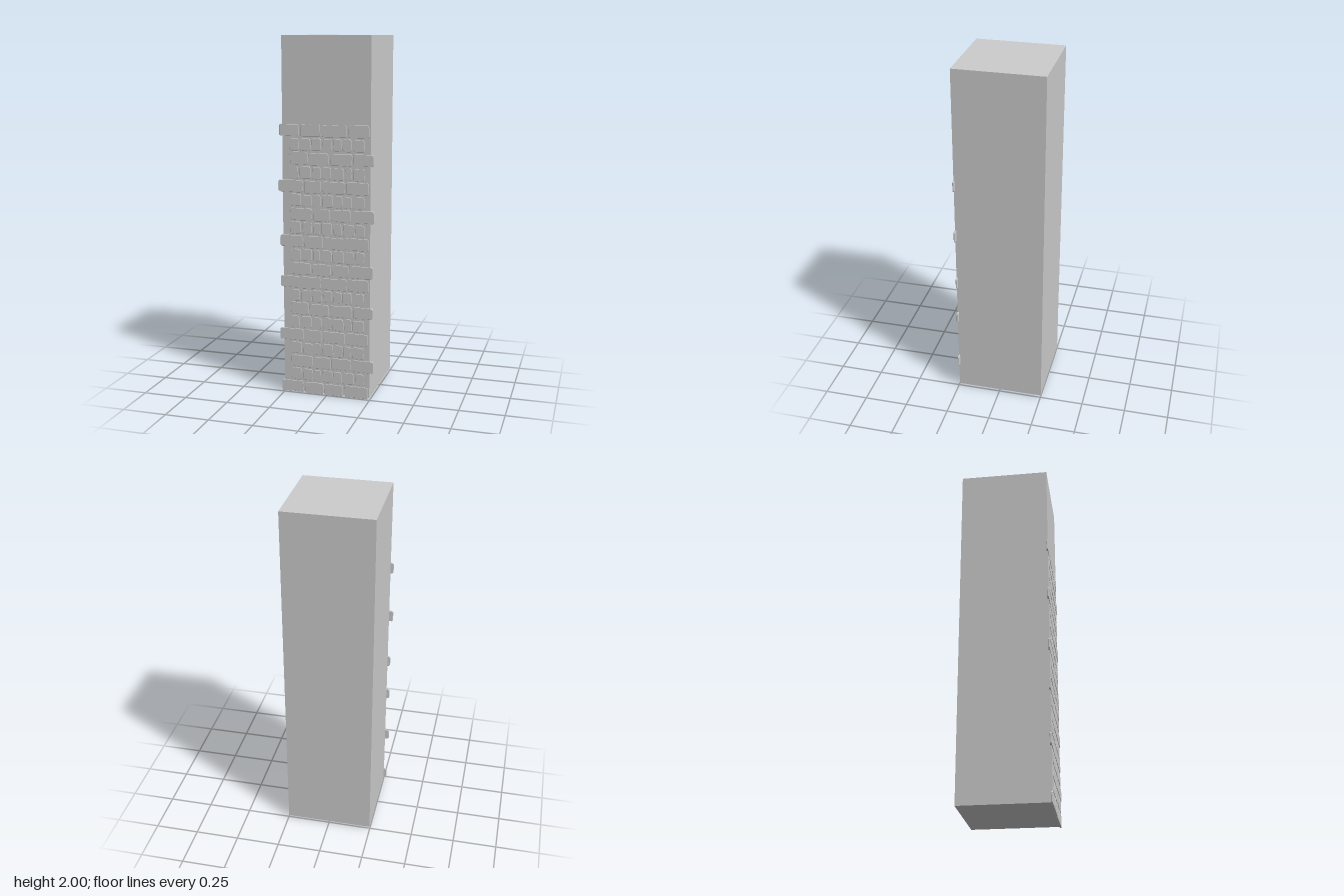
import * as THREE from 'three';

const material = new THREE.MeshStandardMaterial({ color: 0xcccccc, flatShading: true });

// Small seeded generator, returns values in -1..1
function seeded(seed) {
  let s = seed;
  return () => {
    s = (s * 16807) % 2147483647;
    return (s / 2147483647) * 2 - 1;
  };
}

// Worn brick: an irregular outline with clipped corners and a fine bevel
function brickGeometry(w, h, depth, rand) {
  const c = 0.007, bevel = 0.0015;
  const x = w / 2 - bevel, y = h / 2 - bevel;
  const corners = [
    [-x + c, -y], [0, -y], [x - c, -y], [x, -y + c],
    [x, y - c], [x - c, y], [0, y], [-x + c, y],
    [-x, y - c], [-x, -y + c],
  ];
  const points = corners.map(([px, py]) =>
    new THREE.Vector2(px + rand() * 0.0015, py + rand() * 0.0015));
  return new THREE.ExtrudeGeometry(new THREE.Shape(points), {
    depth: depth - 2 * bevel, bevelEnabled: true, bevelSegments: 1,
    bevelThickness: bevel, bevelSize: bevel,
  }).translate(0, 0, bevel);
}

export function createModel() {
  const model = new THREE.Group();

  // Plain square pillar
  const pillar = new THREE.Mesh(new THREE.BoxGeometry(0.496, 1.986, 0.498), material);
  pillar.name = 'pillar';
  pillar.position.set(0, 1.007, -0.003);
  model.add(pillar);

  // Brick facing: the course pattern repeats every eleven rows
  const facing = new THREE.Group();
  facing.name = 'brickFacing';
  model.add(facing);
  const rowCount = 20, pitch = 0.0768, gap = 0.009, back = 0.239;
  const leftEnds = { 0: -0.265, 4: -0.272, 8: -0.265 };
  const rightEnds = { 2: 0.265, 6: 0.27, 10: 0.263 };

  for (let row = 0; row < rowCount; row++) {
    const k = row % 11;
    const rand = seeded(1234 + k * 7919);
    for (let i = 0; i < 5; i++) rand();
    const wide = k % 2 === 0;
    const start = leftEnds[k] ?? -0.205;
    const end = rightEnds[k] ?? (wide ? 0.24 : 0.215);
    const count = wide ? 4 : 7;

    // Uneven joints between the fixed row ends
    const step = (end - start) / count;
    const joints = [start];
    for (let i = 1; i < count; i++) joints.push(start + step * (i + rand() * 0.14));
    joints.push(end);

    const course = new THREE.Group();
    course.name = `brickCourse${row + 1}`;
    course.position.set(0, 1.497 - row * pitch, back);
    for (let i = 0; i < count; i++) {
      const a = joints[i] + (i > 0 ? gap / 2 : 0);
      const b = joints[i + 1] - (i < count - 1 ? gap / 2 : 0);
      const height = 0.067 + rand() * 0.002;
      const brick = new THREE.Mesh(
        brickGeometry(b - a, height, 0.0096 + rand() * 0.0007, rand), material);
      brick.name = 'brick';
      brick.position.set((a + b) / 2, rand() * 0.002, 0);
      course.add(brick);
    }
    facing.add(course);
  }

  return model;
}
